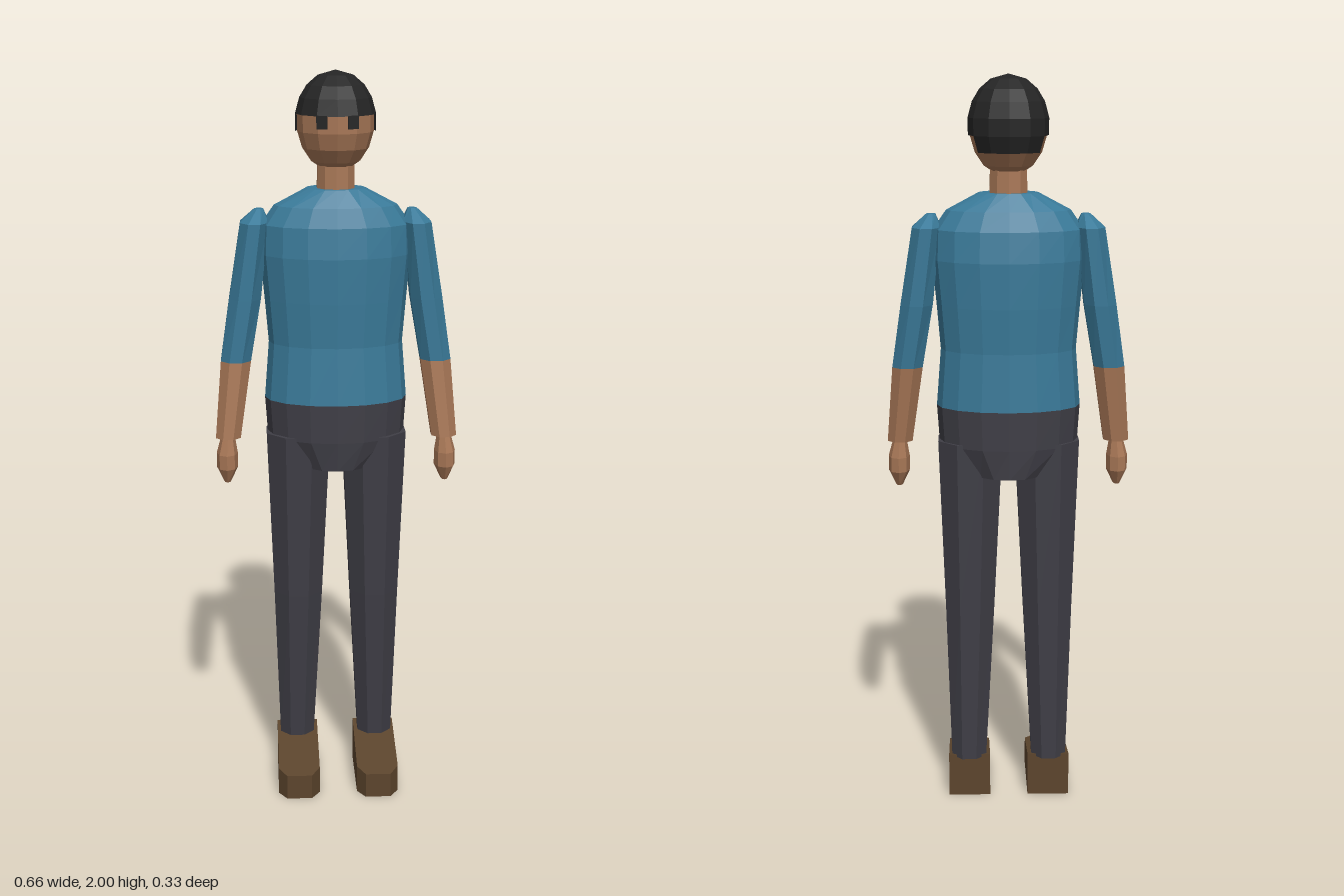
import * as THREE from 'three';

const flat = (name, color, side = THREE.FrontSide) => {
  const m = new THREE.MeshStandardMaterial({ color, flatShading: true, side });
  m.name = name;
  return m;
};

// Surface through elliptical rings [x, y, z, rx, rz], listed from top to bottom.
// skip(row, column) leaves faces out.
function loft(rings, n, { half = false, cap = true, skip = () => false } = {}) {
  const pos = [];
  const grow = half ? 1 / Math.cos(Math.PI / n) : 1;
  const point = ([x, y, z, rx, rz], j) => {
    const a = ((j + (half ? 0.5 : 0)) / n) * Math.PI * 2;
    return [x + Math.sin(a) * rx * grow, y, z + Math.cos(a) * rz * grow];
  };
  const tri = (...p) => p.forEach((v) => pos.push(...v));
  const last = rings.length - 1;
  for (let j = 0; j < n; j++) {
    for (let i = 0; i < last; i++) {
      if (skip(i, j)) continue;
      const a = point(rings[i + 1], j), b = point(rings[i + 1], j + 1);
      const c = point(rings[i], j + 1), d = point(rings[i], j);
      tri(a, b, c);
      tri(a, c, d);
    }
    if (cap) {
      tri(rings[0].slice(0, 3), point(rings[0], j), point(rings[0], j + 1));
      tri(rings[last].slice(0, 3), point(rings[last], j + 1), point(rings[last], j));
    }
  }
  const g = new THREE.BufferGeometry();
  g.setAttribute('position', new THREE.Float32BufferAttribute(pos, 3));
  g.computeVertexNormals();
  return g;
}

// Wedge shoe with a chamfered toe, sloping from instep to toe
function shoeGeometry() {
  const plan = new THREE.Shape([
    [-0.058, 0.085], [-0.058, -0.13], [-0.035, -0.165],
    [0.035, -0.165], [0.058, -0.13], [0.058, 0.085],
  ].map(([x, y]) => new THREE.Vector2(x, y)));
  const g = new THREE.ExtrudeGeometry(plan, { depth: 1, bevelEnabled: false });
  g.rotateX(-Math.PI / 2);
  const p = g.attributes.position;
  for (let i = 0; i < p.count; i++) {
    if (p.getY(i) > 0.5) p.setY(i, 0.07 + (0.165 - p.getZ(i)) * 0.212);
  }
  g.computeVertexNormals();
  return g;
}

export function createModel() {
  const model = new THREE.Group();
  const shirt = flat('blue shirt', 0x3a7a99);
  const trousers = flat('charcoal trousers', 0x3f3e46);
  const skin = flat('skin', 0xa97857);
  const leather = flat('brown leather', 0x5c452d);
  const black = flat('black hair', 0x252525, THREE.DoubleSide);
  const add = (name, geometry, material) => {
    const mesh = new THREE.Mesh(geometry, material);
    mesh.name = name;
    model.add(mesh);
    return mesh;
  };

  // Torso and hips
  add('shirtBody', loft([
    [0, 1.695, -0.03, 0.08, 0.068],
    [0, 1.65, -0.032, 0.165, 0.097],
    [0, 1.60, -0.034, 0.2, 0.118],
    [0, 1.52, -0.035, 0.203, 0.128],
    [0, 1.40, -0.035, 0.192, 0.124],
    [0, 1.28, -0.034, 0.182, 0.116],
    [0, 1.125, -0.031, 0.194, 0.124],
  ], 16), shirt);
  add('hips', loft([
    [0, 1.125, -0.031, 0.194, 0.124],
    [0, 1.02, -0.031, 0.187, 0.122],
    [0, 0.94, -0.033, 0.11, 0.117],
  ], 16), trousers);

  // Neck and head
  add('neck', loft([
    [0, 1.80, -0.03, 0.05, 0.053],
    [0, 1.66, -0.03, 0.053, 0.056],
  ], 10), skin);
  const headRings = (levels, rx, rz, ry) => levels.map((y) => {
    const r = Math.sqrt(Math.max(0, 1 - ((y - 1.868) / ry) ** 2));
    return [0, y, -0.032, rx * r, rz * r];
  });
  add('head', loft(headRings([1.97, 1.93, 1.888, 1.843, 1.80, 1.765, 1.74], 0.103, 0.118, 0.133), 12), skin);

  // Hair: short over the face, stepping down past the ears to the nape
  add('hair', loft(headRings([2, 1.987, 1.962, 1.93, 1.888, 1.843, 1.80], 0.108, 0.123, 0.132), 12, {
    cap: false,
    skip: (row, j) => {
      const fromFront = Math.min(j, 11 - j);
      return row >= (fromFront < 3 ? 4 : fromFront < 4 ? 5 : 6);
    },
  }), black);

  for (const s of [1, -1]) {
    const side = s > 0 ? 'left' : 'right';
    const mirror = (rings) => rings.map(([x, ...rest]) => [x * s, ...rest]);

    // Face
    const eye = add(side + 'Eye', new THREE.BoxGeometry(0.028, 0.034, 0.009), black);
    eye.position.set(0.04 * s, 1.873, 0.074);
    eye.rotation.y = 0.3 * s;

    // Arm
    add(side + 'Sleeve', loft(mirror([
      [0.205, 1.64, -0.034, 0.012, 0.015],
      [0.217, 1.605, -0.034, 0.038, 0.064],
      [0.245, 1.40, -0.033, 0.043, 0.058],
      [0.272, 1.23, -0.026, 0.041, 0.046],
    ]), 8, { half: true }), shirt);
    add(side + 'Forearm', loft(mirror([
      [0.272, 1.23, -0.026, 0.041, 0.046],
      [0.296, 1.02, 0, 0.034, 0.038],
    ]), 8, { half: true }), skin);
    add(side + 'Hand', loft(mirror([
      [0.297, 1.025, 0, 0.018, 0.028],
      [0.3, 0.975, 0.002, 0.029, 0.044],
      [0.3, 0.935, 0.002, 0.029, 0.044],
      [0.3, 0.895, 0.003, 0.01, 0.022],
    ]), 8), skin);

    // Leg and shoe
    add(side + 'Leg', loft(mirror([
      [0.104, 1.03, -0.028, 0.087, 0.093],
      [0.107, 0.56, -0.037, 0.067, 0.073],
      [0.112, 0.115, -0.05, 0.048, 0.05],
    ]), 8, { half: true }), trousers);
    add(side + 'Shoe', shoeGeometry(), leather).position.x = 0.111 * s;
  }
  return model;
}
